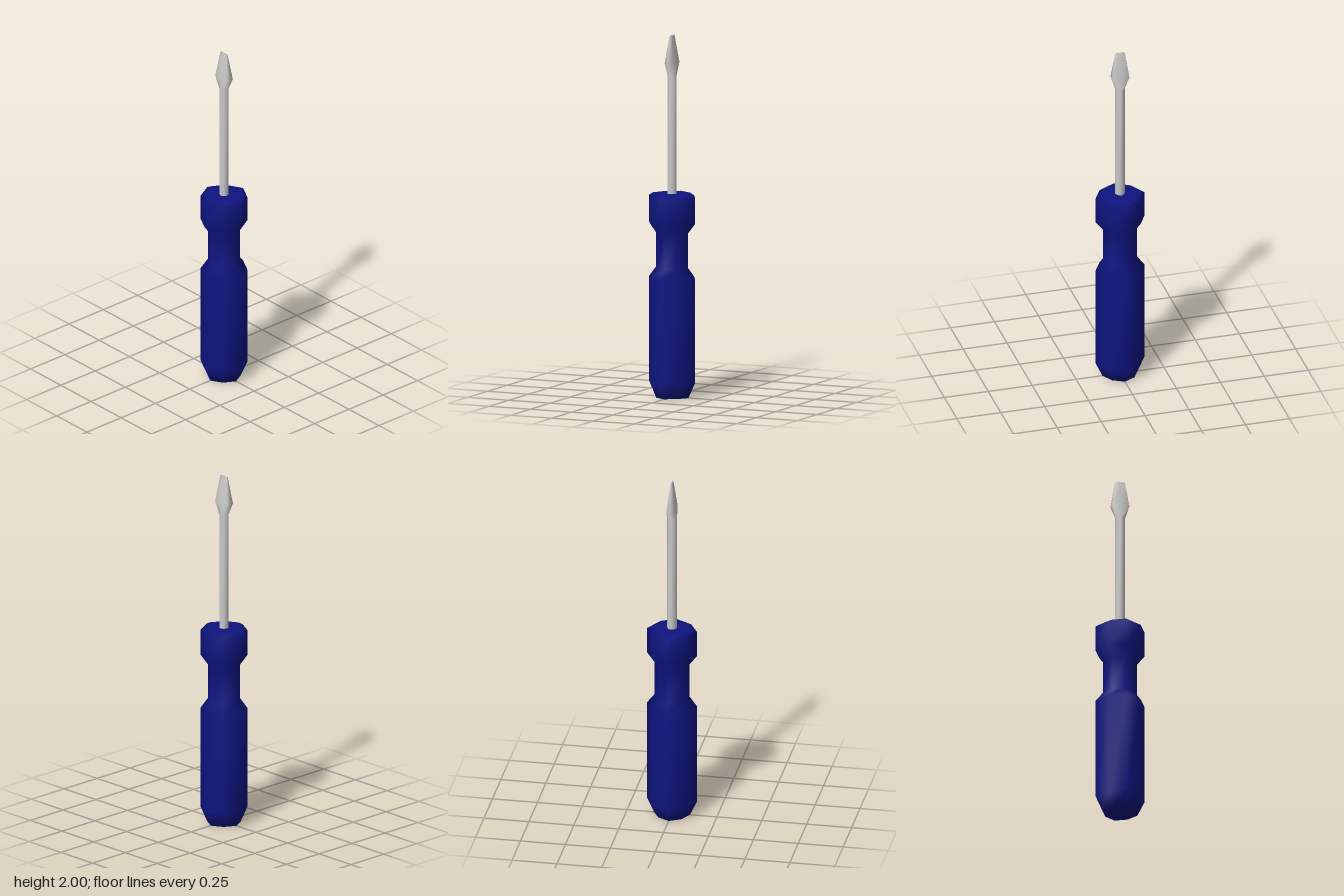
import * as THREE from 'three';

// Skin eight-sided rings into a closed, smooth solid.
// Each ring: [height, half width x, corner x, corner z, half depth z]
function loft(rings) {
  const pos = [], index = [], n = 8;
  for (const [y, a, dx, dz, b] of rings) {
    pos.push(0, y, b, dx, y, dz, a, y, 0, dx, y, -dz);
    pos.push(0, y, -b, -dx, y, -dz, -a, y, 0, -dx, y, dz);
  }
  const last = rings.length - 1, bottom = rings.length * n, top = bottom + 1;
  pos.push(0, rings[0][0], 0, 0, rings[last][0], 0);
  for (let i = 0; i < n; i++) {
    const j = (i + 1) % n;
    for (let r = 0; r < last; r++) {
      const lo = r * n, hi = lo + n;
      index.push(lo + i, lo + j, hi + j, lo + i, hi + j, hi + i);
    }
    index.push(bottom, j, i, top, last * n + i, last * n + j);
  }
  const geometry = new THREE.BufferGeometry();
  geometry.setAttribute('position', new THREE.Float32BufferAttribute(pos, 3));
  geometry.setIndex(index);
  geometry.computeVertexNormals();
  return geometry;
}

// Octagonal ring whose diagonal corners are slightly drawn in
const octagon = (y, r) => [y, r, r * 0.645, r * 0.645, r];

export function createModel() {
  const model = new THREE.Group();
  model.name = 'screwdriver';
  const add = (name, rings, color) => {
    const mesh = new THREE.Mesh(loft(rings), new THREE.MeshStandardMaterial({ color }));
    mesh.name = name;
    model.add(mesh);
  };

  // Grip with tapered butt, waist and bevelled collar
  add('handle', [
    octagon(0, 0.1), octagon(0.085, 0.14), octagon(0.66, 0.14), octagon(0.715, 0.097),
    octagon(0.91, 0.097), octagon(0.965, 0.14), octagon(1.11, 0.14), octagon(1.125, 0.115),
  ], 0x0f1480);

  // Shaft flaring into the flat blade
  add('shaftAndBlade', [
    octagon(1.1, 0.028), octagon(1.78, 0.028),
    [1.85, 0.05, 0.048, 0.022, 0.024],
    [2, 0.028, 0.026, 0.003, 0.004],
  ], 0xcccccc);

  return model;
}
